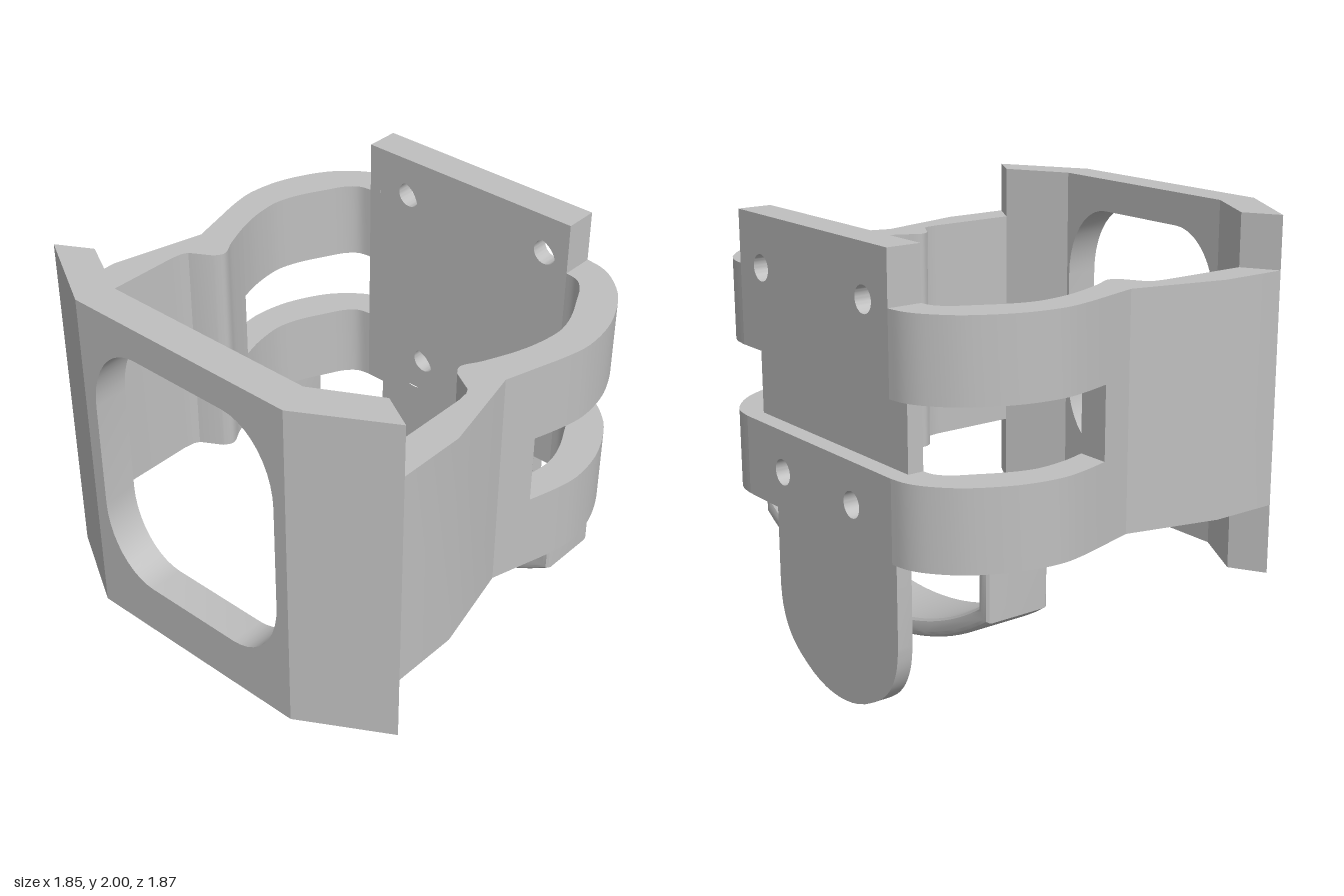
import * as THREE from 'three';
import { toCreasedNormals } from 'three/addons/utils/BufferGeometryUtils.js';

export function createModel() {
  const model = new THREE.Group();
  const grey = new THREE.MeshStandardMaterial({ color: 0xbfbfbf });
  grey.name = 'matte grey';

  const v = (pts) => pts.map(([x, y]) => new THREE.Vector2(x, y));
  const curve = (pts, n = 28) => new THREE.SplineCurve(v(pts)).getPoints(n).map((p) => [p.x, p.y]);
  const add = (name, geo) => {
    const mesh = new THREE.Mesh(toCreasedNormals(geo, 0.5), grey);
    mesh.name = name;
    model.add(mesh);
  };
  const extrude = (shape, depth, extra = {}) =>
    new THREE.ExtrudeGeometry(shape, { depth, bevelEnabled: false, curveSegments: 24, ...extra });

  // Upright panel: outline in x/y, spanning z0..z1, with round holes [x, y, r]
  const panel = (name, shape, z0, z1, holes = []) => {
    for (const [x, y, r] of holes) shape.holes.push(new THREE.Path().absarc(x, y, r, 0, Math.PI * 2, true));
    add(name, extrude(shape, z1 - z0).translate(0, 0, z0));
  };
  // Mirrored pair of walls: outline in x/z, spanning y0..y1
  const walls = (name, pts, y0, y1) => {
    for (const [side, s] of [['left', 1], ['right', -1]]) {
      const shape = new THREE.Shape(v(pts.map(([x, z]) => [s * x, -z])));
      add(side + name, extrude(shape, y1 - y0).rotateX(-Math.PI / 2).translate(0, y0, 0));
    }
  };
  const rect = (x, y0, y1) => new THREE.Shape(v([[-x, y0], [x, y0], [x, y1], [-x, y1]]));

  // Front plate with its rounded window
  const front = rect(0.5, 0.47, 2);
  const hole = [];
  for (let q = 0; q < 4; q++) {
    const sx = q === 0 || q === 3 ? 1 : -1;
    const cy = q < 2 ? 1.525 : 1.035;
    for (let i = 0; i <= 10; i++) {
      const a = (q + i / 10) * Math.PI / 2;
      hole.push([sx * 0.235 + 0.25 * Math.cos(a), cy + 0.33 * Math.sin(a)]);
    }
  }
  front.holes.push(new THREE.Path(v(hole)));
  panel('frontPlate', front, 0.78, 0.935);
  walls('FrontWing', [[0.5, 0.78], [0.5, 0.935], [0.545, 0.935], [0.925, 0.715], [0.775, 0.63]], 0.47, 2);

  // Side walls with the inward retaining nub
  walls('SideWall', [
    [0.925, 0.715], [0.925, 0.41], [0.825, 0], [0.871, -0.16], [0.73, -0.16],
    ...curve([[0.71, -0.11], [0.675, -0.03], [0.645, 0.02], [0.638, 0.055], [0.66, 0.09]], 14),
    [0.755, 0.145], [0.768, 0.17], [0.775, 0.22], [0.775, 0.63],
  ], 0.775, 1.775);

  // Curved rear bands above and below the side slot
  const band = [
    ...curve([[0.871, -0.16], [0.907, -0.29], [0.925, -0.41], [0.908, -0.55], [0.865, -0.67],
      [0.795, -0.79], [0.7, -0.88], [0.62, -0.922], [0.54, -0.935]]),
    ...curve([[0.54, -0.785], [0.6, -0.773], [0.65, -0.725], [0.69, -0.65], [0.74, -0.55],
      [0.77, -0.46], [0.777, -0.38], [0.76, -0.26], [0.73, -0.16]]),
  ];
  walls('LowerBand', band, 0.775, 1.12);
  walls('UpperBand', band, 1.43, 1.775);

  // Back plate: thin inner sheet with tongue and counterbores, then thicker outer bars
  const tongue = curve([[0.45, 0.37], [0.435, 0.27], [0.39, 0.175], [0.31, 0.1], [0.16, 0.025], [0, 0],
    [-0.16, 0.025], [-0.31, 0.1], [-0.39, 0.175], [-0.435, 0.27], [-0.45, 0.37]], 32);
  const sheet = new THREE.Shape(v([[0.54, 2], [0.54, 0.775], [0.45, 0.775], ...tongue,
    [-0.45, 0.775], [-0.54, 0.775], [-0.54, 2]]));
  const lower = (r) => [[-0.26, 0.94, r], [0.26, 0.94, r]];
  const upper = (r) => [[-0.375, 1.78, r], [0.375, 1.78, r]];
  panel('backSheet', sheet, -0.855, -0.785, [...lower(0.107), ...upper(0.107)]);
  panel('lowerBackBar', rect(0.54, 0.775, 1.12), -0.935, -0.855, lower(0.056));
  panel('upperBackBar', rect(0.54, 1.43, 2), -0.935, -0.855, upper(0.056));

  // Curved support strap slung beneath the ring, with softened edges
  const arc = (r, xMax) => Array.from({ length: 33 }, (_, i) => {
    const x = xMax * (i / 16 - 1);
    return [x, 1.793 - Math.sqrt(r * r - x * x)];
  });
  const strap = new THREE.Shape(v([[-0.83, 0.79], ...arc(1.483, 0.83), [0.83, 0.79],
    [0.765, 0.79], ...arc(1.403, 0.765).reverse(), [-0.765, 0.79]]));
  add('supportStrap', extrude(strap, 0.25, {
    bevelEnabled: true, bevelThickness: 0.025, bevelSize: 0.025, bevelOffset: -0.025, bevelSegments: 3,
  }).translate(0, 0, -0.675));

  return model;
}
